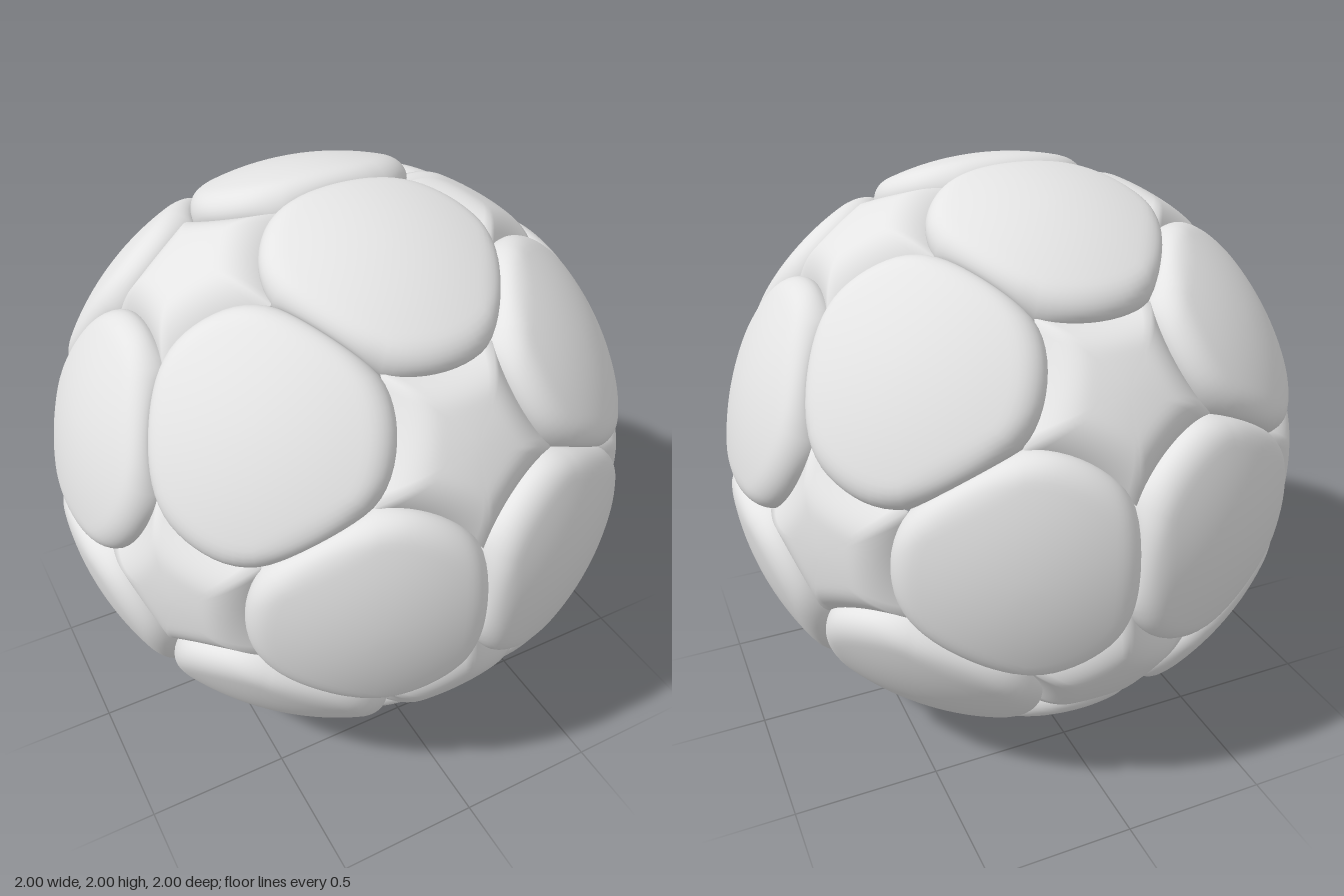
import * as THREE from 'three';

const PHI = (1 + Math.sqrt(5)) / 2;
const DISC = 0.42;                 // angular radius of the round panels
const DISC_T = Math.tan(DISC);     // the same, measured on the tangent plane
const SEAM_T = 0.382;              // distance from panel centre to a straight seam
const RINGS = 18;

// All cyclic permutations and signs of (0, a, b), as unit directions
function cyclic(a, b) {
  const out = [];
  for (const s of [1, -1]) for (const t of [1, -1]) {
    const p = [0, a * s, b * t];
    for (let k = 0; k < 3; k++) {
      out.push(new THREE.Vector3(p[k], p[(k + 1) % 3], p[(k + 2) % 3]).normalize());
    }
  }
  return out;
}

// How far below the crown a bevel of width w lies: 1 at the border, 0 from w inwards.
// Power 0.5 gives a quarter round, power 1 a softer curve.
function drop(d, w, power) {
  const s = THREE.MathUtils.clamp(d / w, 0, 1);
  return 1 - Math.pow(1 - (1 - s) * (1 - s), power);
}

// Curved panel around direction n, with its zero angle pointing at 'toward'.
// limit(theta, dirAt) is the outline on the tangent plane, radius(...) the height.
function panel(n, toward, segs, limit, radius, skirt) {
  const e1 = toward.clone().addScaledVector(n, -n.dot(toward)).normalize();
  const e2 = n.clone().cross(e1);
  const dirAt = (theta, rho) => n.clone()
    .addScaledVector(e1, rho * Math.cos(theta))
    .addScaledVector(e2, rho * Math.sin(theta)).normalize();
  const pos = [], index = [];
  const centre = n.clone().multiplyScalar(radius(0, 0, n));
  pos.push(centre.x, centre.y, centre.z);
  const rings = RINGS + (skirt ? 1 : 0);
  const limits = [];
  for (let j = 0; j < segs; j++) limits.push(limit(j / segs * Math.PI * 2, dirAt));
  for (let i = 1; i <= rings; i++) {
    const f = Math.min(1, i / RINGS);
    const t = 1 - Math.pow(1 - f, 1.8);      // rings crowd towards the rim
    for (let j = 0; j < segs; j++) {
      const theta = j / segs * Math.PI * 2, rho = limits[j] * t;
      const d = dirAt(theta, rho);
      d.multiplyScalar(i > RINGS ? skirt : radius(theta, rho, d));
      pos.push(d.x, d.y, d.z);
    }
  }
  for (let j = 0; j < segs; j++) {
    const k = (j + 1) % segs;
    index.push(0, 1 + j, 1 + k);
    for (let i = 0; i < rings - 1; i++) {
      const a = 1 + i * segs + j, b = 1 + i * segs + k;
      index.push(a, a + segs, b + segs, a, b + segs, b);
    }
  }
  const g = new THREE.BufferGeometry();
  g.setAttribute('position', new THREE.Float32BufferAttribute(pos, 3));
  g.setIndex(index);
  g.computeVertexNormals();
  return g;
}

export function createModel() {
  const ball = new THREE.Group();
  ball.name = 'panelledBall';
  const grey = new THREE.MeshStandardMaterial({ color: 0xe4e4e4 });
  grey.name = 'light grey';

  const hexDirs = cyclic(PHI, 1 / PHI);
  for (const x of [1, -1]) for (const y of [1, -1]) for (const z of [1, -1]) {
    hexDirs.push(new THREE.Vector3(x, y, z).normalize());
  }
  const pentDirs = cyclic(1, PHI);

  const add = (geometry, name) => {
    const mesh = new THREE.Mesh(geometry, grey);
    mesh.name = name;
    mesh.position.y = 1;
    ball.add(mesh);
  };

  // Puffy panels: discs cut by three straight seams
  const seamReach = (theta) => Math.max(...[0, 1, 2].map((k) => Math.cos(theta - k * Math.PI * 2 / 3)));
  const hexLimit = (theta) => Math.min(DISC_T, SEAM_T / seamReach(theta));
  const hexRadius = (theta, rho) => 1.002
    - 0.04 * drop(SEAM_T - rho * seamReach(theta), 0.1, 0.5)
    - 0.07 * drop(DISC_T - rho, 0.11, 0.5);
  hexDirs.forEach((n, i) => {
    const neighbour = hexDirs.find((h) => h !== n && h.dot(n) > 0.7);
    add(panel(n, neighbour, 72, hexLimit, hexRadius, 0.86), 'puffyPanel' + (i + 1));
  });

  // Star-shaped panels filling the gaps, tucked slightly under the discs
  pentDirs.forEach((n, i) => {
    const around = hexDirs.filter((h) => h.dot(n) > 0.7);
    const gap = (d) => Math.min(...around.map((h) => d.angleTo(h))) - DISC;
    const starLimit = (theta, dirAt) => {
      let lo = 0, hi = 0.366;
      for (let k = 0; k < 24; k++) {
        const mid = (lo + hi) / 2;
        if (gap(dirAt(theta, mid)) > -0.012) lo = mid; else hi = mid;
      }
      return lo;
    };
    const starRadius = (theta, rho, d) => 0.988 - 0.06 * drop(gap(d) + 0.012, 0.13, 1);
    add(panel(n, around[0], 70, starLimit, starRadius, 0), 'starPanel' + (i + 1));
  });
  return ball;
}
